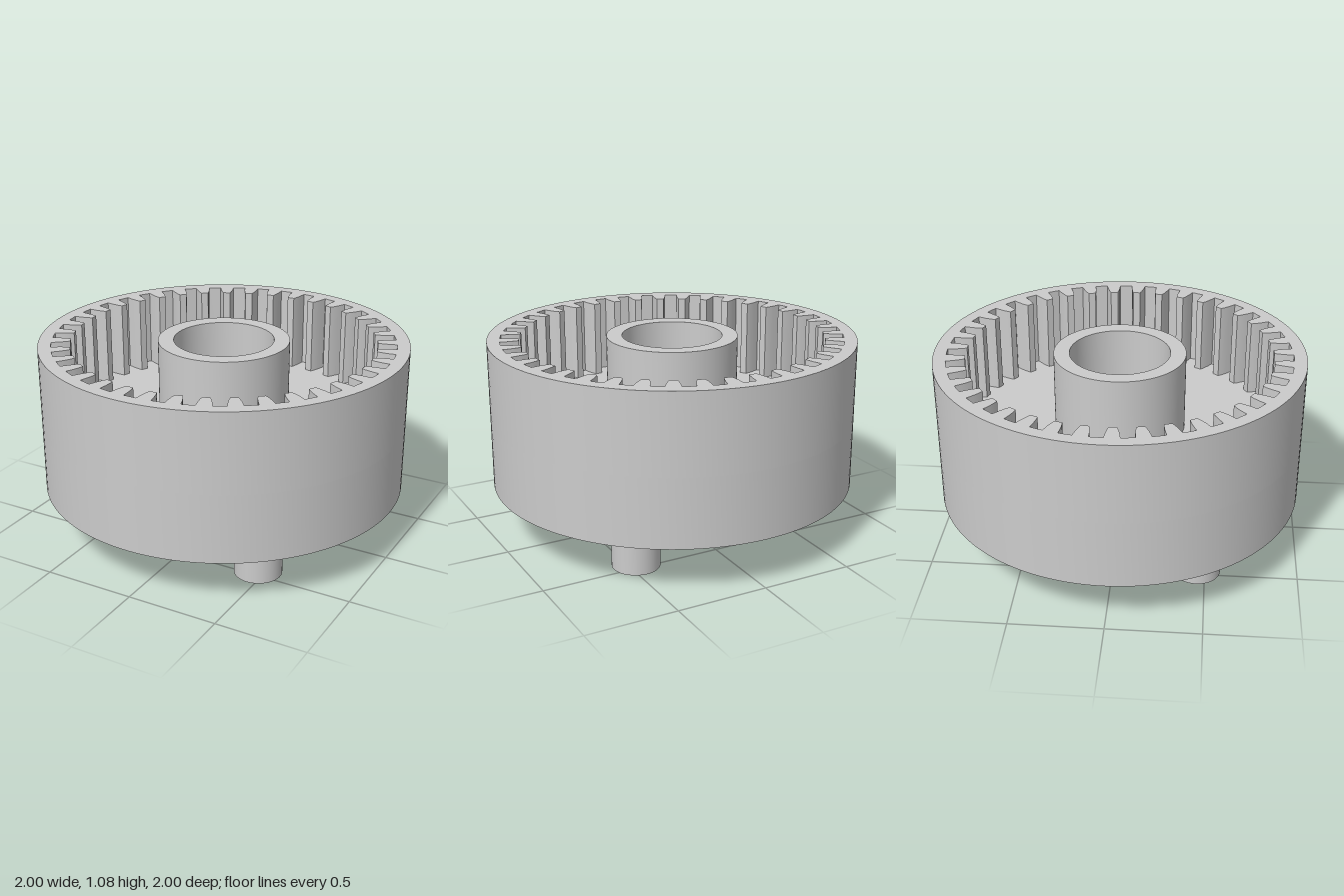
import * as THREE from 'three';
import { toCreasedNormals } from 'three/addons/utils/BufferGeometryUtils.js';

const BOTTOM = 0.27, FLOOR = 0.645, TOP = 1.08;
const TEETH = 39;

export function createModel() {
  const group = new THREE.Group();
  const material = new THREE.MeshStandardMaterial({ color: 0xcccccc });
  const add = (name, geometry, x = 0, y = 0, z = 0) => {
    const mesh = new THREE.Mesh(geometry, material);
    mesh.name = name;
    mesh.position.set(x, y, z);
    group.add(mesh);
    return mesh;
  };

  // Floor disc, hollow hub and the wider bore underneath, as one closed profile
  const profile = [
    [0.48, BOTTOM], [1, BOTTOM], [1, FLOOR], [0.357, FLOOR], [0.357, TOP],
    [0.272, TOP], [0.272, 0.505], [0.48, 0.505], [0.48, BOTTOM],
  ].map(([r, y]) => new THREE.Vector2(r, y));
  add('baseAndHub', toCreasedNormals(new THREE.LatheGeometry(profile, 128), 0.5));

  // Ring wall with internal teeth: [radius, angle from the tooth's centre]
  const tooth = [
    [0.93, -0.043], [0.885, -0.039], [0.85, -0.032], [0.828, -0.024],
    [0.828, 0.024], [0.85, 0.032], [0.885, 0.039], [0.93, 0.043],
  ];
  const outline = [];
  for (let i = 0; i < TEETH; i++) {
    const centre = Math.PI / 2 + (i / TEETH) * Math.PI * 2;
    for (const [r, da] of tooth) {
      outline.push(new THREE.Vector2(r * Math.cos(centre + da), r * Math.sin(centre + da)));
    }
  }
  const ring = new THREE.Shape().absarc(0, 0, 1, 0, Math.PI * 2, false);
  ring.holes.push(new THREE.Path(outline));
  const ringGeometry = new THREE.ExtrudeGeometry(ring, {
    depth: TOP - FLOOR, bevelEnabled: false, curveSegments: 64,
  });
  ringGeometry.rotateX(-Math.PI / 2);
  add('toothedRing', toCreasedNormals(ringGeometry, 0.5), 0, FLOOR, 0);

  // Three drive pegs below, on three corners of a square
  const pegGeometry = new THREE.CylinderGeometry(0.128, 0.128, BOTTOM + 0.01, 40);
  for (const [sx, sz] of [[1, 1], [1, -1], [-1, 1]]) {
    add('peg', pegGeometry, sx * 0.458, (BOTTOM + 0.01) / 2, sz * 0.456);
  }

  // Small retaining nubs at the mouth of the lower bore
  const nubGeometry = new THREE.SphereGeometry(0.03, 16, 12);
  for (const degrees of [90, 225, 345]) {
    const a = THREE.MathUtils.degToRad(degrees);
    add('nub', nubGeometry, 0.483 * Math.cos(a), BOTTOM + 0.031, 0.483 * Math.sin(a));
  }
  return group;
}
